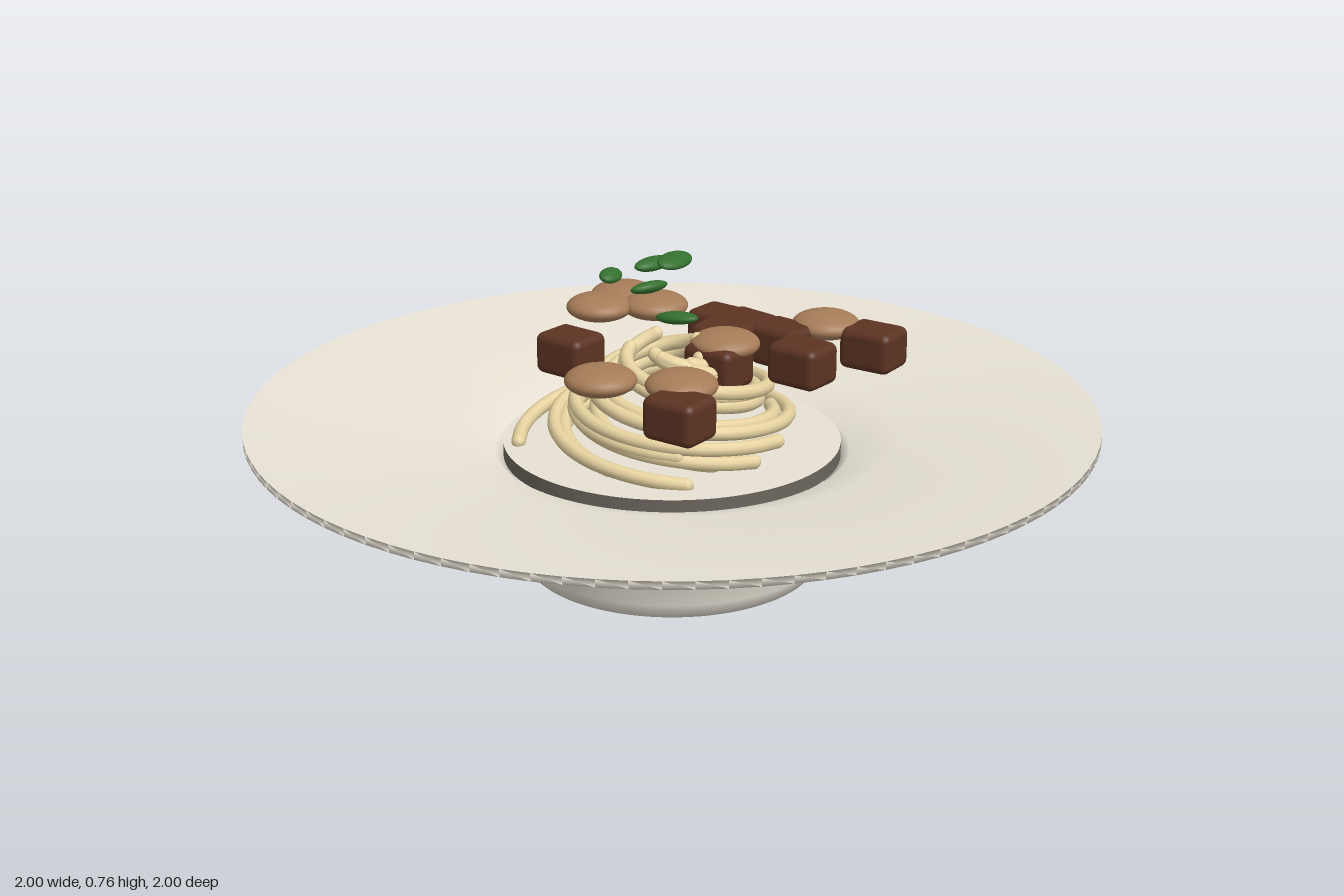
import * as THREE from 'three';
import { RoundedBoxGeometry } from 'three/addons/geometries/RoundedBoxGeometry.js';

const mat = (name, color, extra = {}) => {
  const m = new THREE.MeshStandardMaterial({ color, ...extra });
  m.name = name;
  return m;
};

export function createModel() {
  const ceramic = mat('ceramic', 0xe8e2d5);
  const ceramicEdge = mat('ceramic edge', 0x6b665d);
  const pasta = mat('pasta', 0xe6d2a0);
  const meat = mat('meat', 0x5c3322);
  const mushroom = mat('mushroom', 0xa67c58);
  const herb = mat('herb', 0x34702e);

  const model = new THREE.Group();
  model.name = 'pastaBowl';
  const add = (parent, name, geometry, material, p = [0, 0, 0], r = [0, 0, 0]) => {
    const mesh = new THREE.Mesh(geometry, material);
    mesh.name = name;
    mesh.position.set(...p);
    mesh.rotation.set(...r);
    parent.add(mesh);
    return mesh;
  };
  const group = (name) => {
    const g = new THREE.Group();
    g.name = name;
    model.add(g);
    return g;
  };

  // wide-rimmed bowl: underside, rim, then the slope into the well
  const profile = [
    [0, 0], [0.35, 0], [0.375, 0.04], [0.415, 0.28], [0.55, 0.308], [1, 0.368],
    [1, 0.386], [0.53, 0.325], [0.42, 0.288], [0.4, 0.27], [0.385, 0.15],
  ].map(([x, y]) => new THREE.Vector2(x, y));
  add(model, 'bowl', new THREE.LatheGeometry(profile, 96), ceramic);

  // floor of the well with its dark edge
  const floor = new THREE.CylinderGeometry(0.4, 0.4, 0.035, 96);
  add(model, 'wellFloor', floor, [ceramicEdge, ceramic, ceramic], [0, 0.291, 0]);

  // spaghetti nest: strands wind inwards and upwards
  const nest = group('spaghettiNest');
  const strand = (start, r0, r1, turns, y0, y1) => {
    const points = [];
    for (let i = 0; i <= 28; i++) {
      const t = i / 28;
      const a = start + t * turns * Math.PI * 2;
      const r = r0 + (r1 - r0) * t;
      points.push(new THREE.Vector3(r * Math.cos(a), y0 + (y1 - y0) * t, r * Math.sin(a)));
    }
    const curve = new THREE.CatmullRomCurve3(points);
    add(nest, 'strand', new THREE.TubeGeometry(curve, 90, 0.017, 10), pasta);
    for (const end of [points[0], points[28]]) {
      add(nest, 'strandEnd', new THREE.SphereGeometry(0.017, 10, 8), pasta, end.toArray());
    }
  };
  strand(2.32, 0.365, 0.15, 0.8, 0.315, 0.5);
  strand(0.2, 0.29, 0.1, 1.0, 0.33, 0.53);
  strand(0.8, 0.33, 0.13, 0.95, 0.315, 0.51);
  for (let i = 0; i < 9; i++) {
    const a = i * 2.4 + 0.5;
    const k = (i * 5 % 9) / 9;
    strand(a, 0.24 + 0.07 * k, 0.06 + 0.07 * k, 0.85 + 0.1 * (i % 3), 0.32 + 0.02 * (i % 3), 0.555 - 0.05 * k);
  }

  // browned meat cubes: x, z, turn
  const cubes = group('meatCubes');
  const cube = new RoundedBoxGeometry(0.135, 0.1, 0.112, 3, 0.02);
  [
    [-0.21, 0.12, 0], [0.265, 0.305, 0.05], [0.325, -0.36, 0.08], [0.26, -0.16, 0],
    [0.145, -0.245, -0.06], [-0.045, -0.245, 0], [0.03, -0.25, -0.1], [0.03, -0.165, 0.1], [0.115, -0.03, 0],
  ].forEach(([x, z, turn]) => add(cubes, 'meatCube', cube, meat, [x, 0.506, z], [0, turn, 0]));

  // flat mushroom caps: x, y, z
  const caps = group('mushrooms');
  const cap = new THREE.SphereGeometry(0.082, 32, 20).scale(1, 0.4, 1);
  [
    [-0.335, 0.542, -0.225], [-0.222, 0.54, -0.21], [-0.32, 0.54, -0.115], [0.2, 0.543, -0.34],
    [0.11, 0.548, -0.06], [0.207, 0.545, 0.225], [0.04, 0.542, 0.305],
  ].forEach((p) => add(caps, 'mushroomCap', cap, mushroom, p));

  // herb leaves: position, half sizes, turn, tilt
  const leaves = group('herbLeaves');
  const leaf = new THREE.SphereGeometry(1, 20, 14);
  [
    [[0.11, 0.655, 0.12], [0.055, 0.014, 0.026], 0.1, 0.12],
    [[-0.135, 0.695, 0.06], [0.024, 0.014, 0.042], 0.3, -0.3],
    [[-0.053, 0.726, 0.005], [0.024, 0.015, 0.056], -0.1, -0.15],
    [[0.0, 0.74, -0.01], [0.03, 0.014, 0.06], 0.1, -0.3],
    [[-0.028, 0.684, 0.05], [0.024, 0.014, 0.05], -0.25, 0.3],
  ].forEach(([p, s, turn, tilt]) => add(leaves, 'herbLeaf', leaf, herb, p, [0, turn, tilt]).scale.set(...s));

  return model;
}
